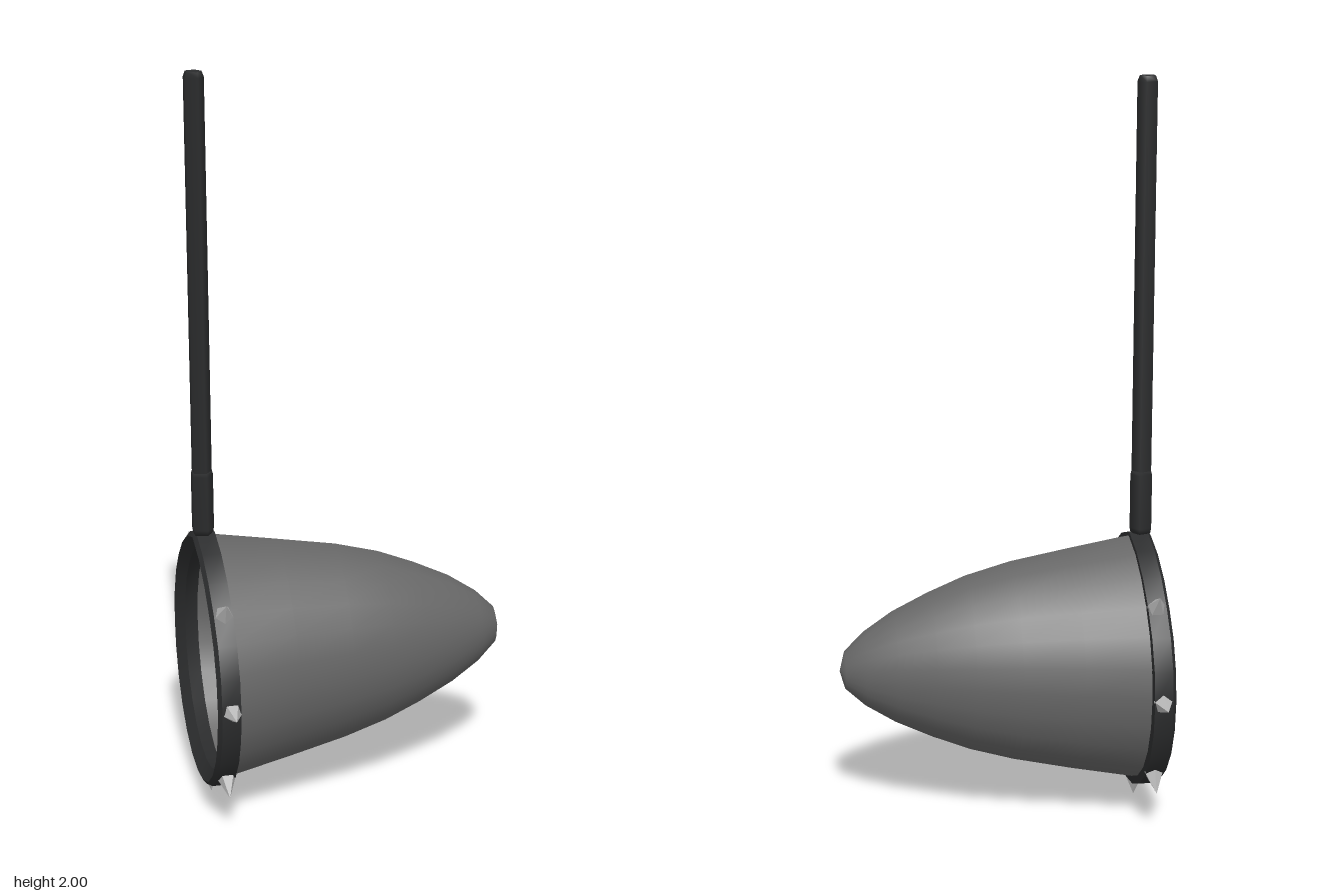
import * as THREE from 'three';
import { toCreasedNormals } from 'three/addons/utils/BufferGeometryUtils.js';

const CENTER_Y = 0.39;
const HOOP_X = -0.4;
const SIDES = 24;

// Hoop outline: a circle drawn up to a soft point where the handle joins
function outline(angle) {
  const fromTop = Math.min(angle, Math.PI * 2 - angle);
  return 0.335 + 0.043 * Math.pow(Math.max(0, 1 - fromTop / 0.75), 1.3);
}

// Skin a list of rings running around the x axis
function loft(rows, pointAt, closeRows) {
  const positions = [];
  const index = [];
  for (const row of rows) {
    for (let j = 0; j < SIDES; j++) positions.push(...pointAt(row, (j / SIDES) * Math.PI * 2));
  }
  const bands = closeRows ? rows.length : rows.length - 1;
  for (let i = 0; i < bands; i++) {
    const next = (i + 1) % rows.length;
    for (let j = 0; j < SIDES; j++) {
      const k = (j + 1) % SIDES;
      const a = i * SIDES + j, b = next * SIDES + j;
      const c = i * SIDES + k, d = next * SIDES + k;
      index.push(a, c, b, c, d, b);
    }
  }
  const geometry = new THREE.BufferGeometry();
  geometry.setAttribute('position', new THREE.Float32BufferAttribute(positions, 3));
  geometry.setIndex(index);
  geometry.computeVertexNormals();
  return geometry;
}

export function createModel() {
  const model = new THREE.Group();
  model.name = 'spikedNet';

  const darkMetal = new THREE.MeshStandardMaterial({ color: 0x2b2c2d });
  darkMetal.name = 'darkMetal';
  const netCloth = new THREE.MeshStandardMaterial({ color: 0x666666, side: THREE.DoubleSide });
  netCloth.name = 'netCloth';
  const spikeMetal = new THREE.MeshStandardMaterial({ color: 0xb8b8b8, flatShading: true });
  spikeMetal.name = 'spikeMetal';

  const add = (name, geometry, material) => {
    const mesh = new THREE.Mesh(geometry, material);
    mesh.name = name;
    model.add(mesh);
    return mesh;
  };

  // Bag: rows of x, half width, half height, centre height
  const bagRows = [
    [-0.4, 0.318, 0.325, 0.395],
    [-0.37, 0.314, 0.32, 0.396],
    [-0.2, 0.268, 0.292, 0.4],
    [-0.04, 0.232, 0.262, 0.405],
    [0.08, 0.2, 0.23, 0.408],
    [0.18, 0.164, 0.192, 0.41],
    [0.28, 0.122, 0.147, 0.412],
    [0.36, 0.079, 0.098, 0.413],
    [0.413, 0.04, 0.05, 0.414],
    [0.427, 0, 0, 0.414],
  ];
  const bag = loft(bagRows, ([x, width, height, y], angle) => {
    const r = outline(angle) / 0.335;
    return [x, y + r * height * Math.cos(angle), r * width * Math.sin(angle)];
  });
  add('netBag', bag, netCloth);

  // Hoop: five-sided section of x and radial offset
  const section = [[-0.43, -0.012], [-0.42, 0], [-0.37, 0], [-0.367, -0.028], [-0.405, -0.043]];
  const hoop = loft(section, ([x, offset], angle) => {
    const r = outline(angle) + offset;
    return [x, CENTER_Y + r * Math.cos(angle), r * Math.sin(angle)];
  }, true);
  add('hoop', toCreasedNormals(hoop, 0.6), darkMetal);

  // Handle and thicker socket, both five-sided
  const rod = (name, profile) => {
    const points = profile.map(([r, y]) => new THREE.Vector2(r, y));
    const geometry = new THREE.LatheGeometry(points, 5, Math.PI / 2);
    add(name, geometry, darkMetal).position.x = HOOP_X - 0.002;
  };
  rod('handle', [[0, 0.9], [0.028, 0.9], [0.028, 0.9], [0.028, 1.985], [0.022, 2], [0.022, 2], [0, 2]]);
  rod('handleSocket', [[0, 0.765], [0.028, 0.765], [0.031, 0.78], [0.031, 0.93], [0.028, 0.94], [0, 0.94]]);

  // Seven spikes around the hoop, leaving the handle joint free
  const spikeGeometry = new THREE.ConeGeometry(0.027, 0.062, 5);
  for (let i = 1; i < 8; i++) {
    const angle = (i * Math.PI) / 4;
    const spike = add('spike', spikeGeometry, spikeMetal);
    spike.position.set(-0.393, CENTER_Y + 0.359 * Math.cos(angle), 0.359 * Math.sin(angle));
    spike.rotation.x = angle;
  }
  return model;
}
